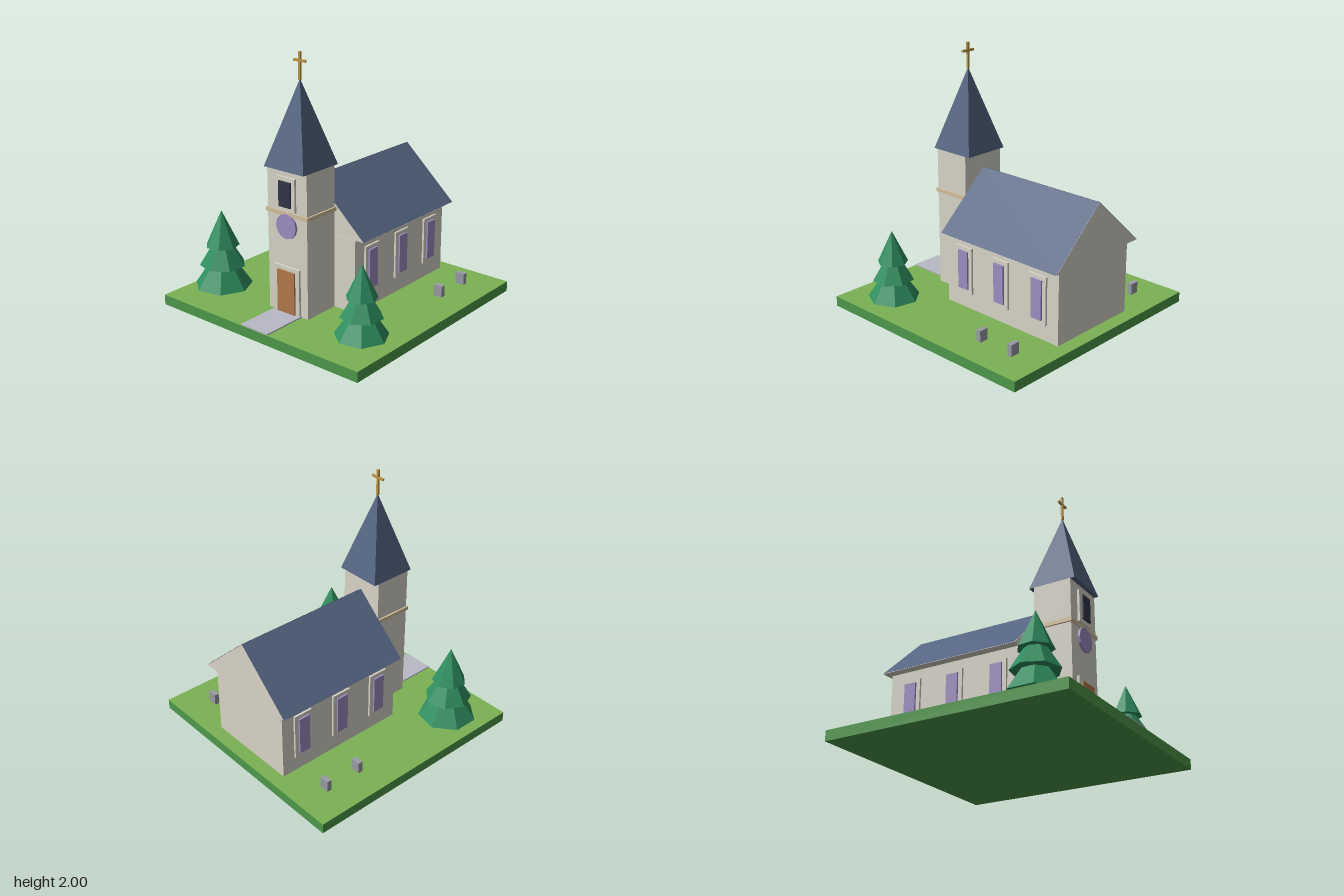
import * as THREE from 'three';

const mat = (color, extra = {}) => new THREE.MeshStandardMaterial({ color, flatShading: true, ...extra });
const M = {
  soil: mat(0x4f9a4c), grass: mat(0x7cb255), wall: mat(0xdad6ca), roof: mat(0x566683),
  band: mat(0xd6c2a0), dark: mat(0x33364a), glass: mat(0x9f8fc4), door: mat(0xb57a4c),
  path: mat(0xb9bac6), stone: mat(0x9a9ca6), gold: mat(0xc09a45), leaf: mat(0x2f8f60), trunk: mat(0x80502f),
};

function add(parent, name, geometry, material, x = 0, y = 0, z = 0) {
  const mesh = new THREE.Mesh(geometry, material);
  mesh.name = name;
  mesh.position.set(x, y, z);
  parent.add(mesh);
  return mesh;
}

// Box given by its limits on each axis
function block(parent, name, material, [x0, x1], [y0, y1], [z0, z1]) {
  return add(parent, name, new THREE.BoxGeometry(x1 - x0, y1 - y0, z1 - z0), material,
    (x0 + x1) / 2, (y0 + y1) / 2, (z0 + z1) / 2);
}

// Conifer: short trunk and three seven-sided cones, each turned a little
function tree(name, x, z, scale) {
  const g = new THREE.Group();
  g.name = name;
  add(g, 'trunk', new THREE.CylinderGeometry(0.035, 0.042, 0.1, 7), M.trunk, 0, 0.05, 0);
  [[0.223, 0.037, 0.335], [0.178, 0.205, 0.29], [0.13, 0.36, 0.28]].forEach(([r, y, h], i) => {
    const tier = add(g, 'foliage', new THREE.ConeGeometry(r, h, 7), M.leaf, 0, y + h / 2, 0);
    tier.rotation.y = Math.PI / 2 + i * 0.4;
  });
  g.position.set(x, 0.08, z);
  g.scale.setScalar(scale);
  return g;
}

export function createModel() {
  const model = new THREE.Group();
  model.name = 'church';

  // Ground
  block(model, 'groundSlab', M.soil, [-0.94, 0.94], [0, 0.079], [-0.94, 0.94]);
  add(model, 'grass', new THREE.PlaneGeometry(1.88, 1.88).rotateX(-Math.PI / 2), M.grass, 0, 0.08, 0);
  block(model, 'path', M.path, [-0.128, 0.128], [0.079, 0.09], [0.56, 0.938]);

  // Nave with gabled top
  block(model, 'nave', M.wall, [-0.38, 0.38], [0.08, 0.65], [-0.83, 0.27]);
  const gable = new THREE.Shape([
    new THREE.Vector2(-0.45, 0.65), new THREE.Vector2(0.45, 0.65), new THREE.Vector2(0, 1.06)]);
  add(model, 'gable', new THREE.ExtrudeGeometry(gable, { depth: 1.13, bevelEnabled: false }), M.wall, 0, 0, -0.865);

  // Roof slopes and side windows, mirrored
  const pitch = Math.atan2(0.41, 0.45);
  const roofMat = mat(0x566683, { side: THREE.DoubleSide });
  for (const s of [-1, 1]) {
    const slope = add(model, 'roofSlope',
      new THREE.PlaneGeometry(Math.hypot(0.45, 0.41), 1.13).rotateX(-Math.PI / 2), roofMat,
      s * (0.225 + 0.002 * Math.sin(pitch)), 0.855 + 0.002 * Math.cos(pitch), -0.3);
    slope.rotation.z = -s * pitch;
    for (const z of [0.085, -0.28, -0.645]) {
      const w = new THREE.Group();
      w.name = 'sideWindow';
      add(w, 'windowFrame', new THREE.BoxGeometry(0.03, 0.37, 0.16), M.wall, s * 0.381, 0.39, z);
      add(w, 'windowPane', new THREE.BoxGeometry(0.04, 0.305, 0.095), M.glass, s * 0.39, 0.3925, z);
      model.add(w);
    }
    for (const z of [-0.38, -0.68]) {
      block(model, 'gravestone', M.stone, [s * 0.677 - 0.037, s * 0.677 + 0.037], [0.08, 0.17], [z - 0.019, z + 0.019]);
    }
  }

  // Tower
  block(model, 'tower', M.wall, [-0.187, 0.187], [0.08, 1.18], [0.27, 0.57]);
  block(model, 'towerBand', M.band, [-0.2, 0.2], [0.838, 0.868], [0.262, 0.58]);
  block(model, 'belfryFrame', M.wall, [-0.087, 0.087], [0.88, 1.13], [0.56, 0.588]);
  block(model, 'belfryOpening', M.dark, [-0.055, 0.055], [0.91, 1.1], [0.56, 0.602]);
  block(model, 'doorFrame', M.wall, [-0.12, 0.12], [0.08, 0.45], [0.56, 0.588]);
  block(model, 'door', M.door, [-0.083, 0.083], [0.085, 0.42], [0.56, 0.6]);
  add(model, 'roundWindow', new THREE.CylinderGeometry(0.095, 0.095, 0.03, 12).rotateX(Math.PI / 2), M.glass, 0, 0.76, 0.573);

  // Spire and cross
  add(model, 'spire', new THREE.ConeGeometry(0.187 * Math.SQRT2, 0.63, 4, 1, false, Math.PI / 4), M.roof, 0, 1.495, 0.418);
  block(model, 'crossUpright', M.gold, [-0.009, 0.009], [1.8, 2], [0.41, 0.426]);
  block(model, 'crossArm', M.gold, [-0.057, 0.057], [1.928, 1.946], [0.411, 0.425]);

  // Trees
  model.add(tree('rightTree', -0.68, 0.565, 1), tree('leftTree', 0.677, 0.565, 0.89));
  return model;
}
